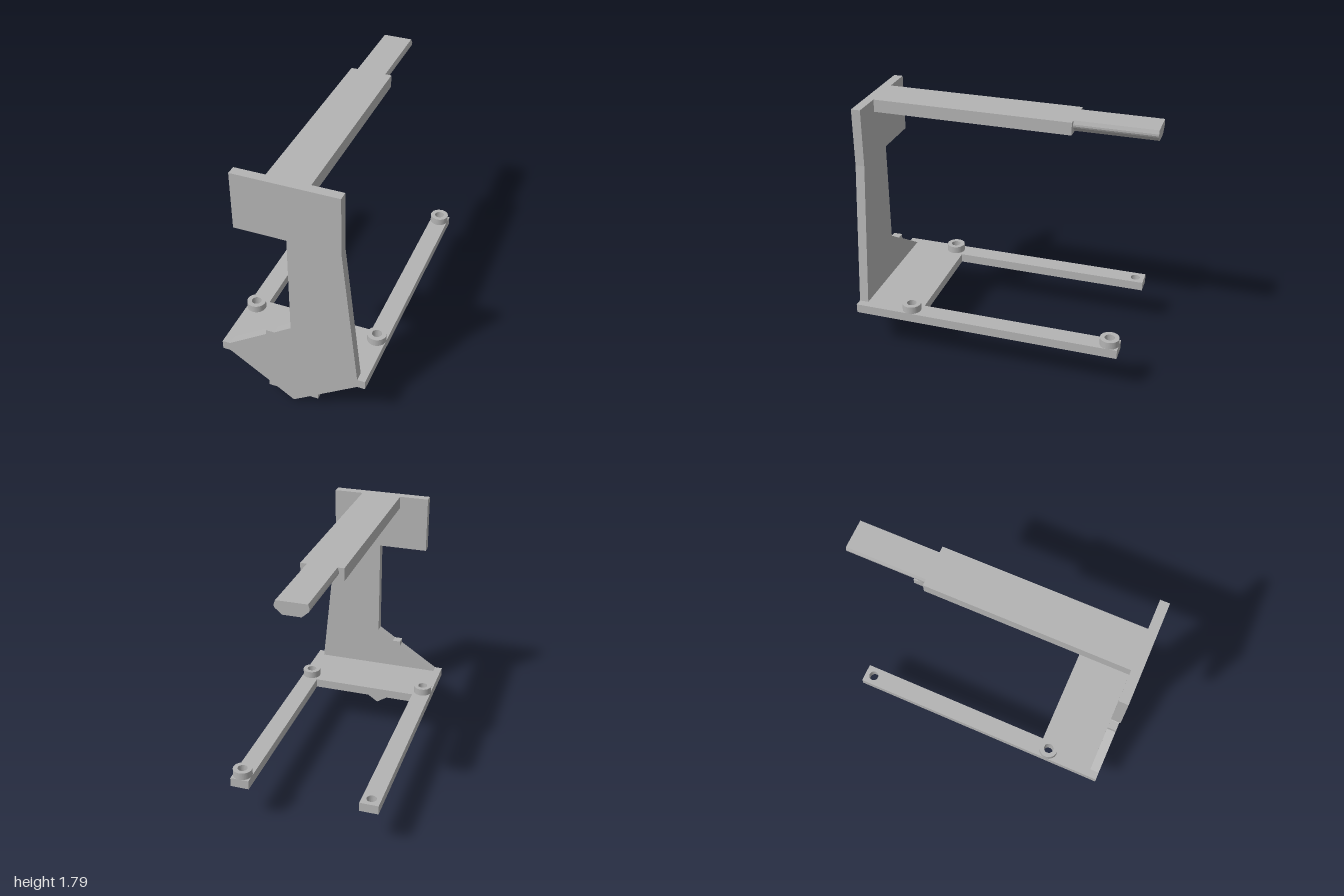
import * as THREE from 'three';

const grey = new THREE.MeshStandardMaterial({ color: 0xb3b3b3 });
grey.name = 'plain grey';

const toShape = (pts) => new THREE.Shape(pts.map(([x, y]) => new THREE.Vector2(x, y)));

function addHole(shape, x, y, r) {
  const hole = new THREE.Path();
  hole.absarc(x, y, r, 0, Math.PI * 2, true);
  shape.holes.push(hole);
}

const extrude = (shape, depth) =>
  new THREE.ExtrudeGeometry(shape, { depth, bevelEnabled: false, curveSegments: 24 });

export function createModel() {
  const model = new THREE.Group();
  model.name = 'bracketFrame';
  const add = (name, geometry) => {
    const mesh = new THREE.Mesh(geometry, grey);
    mesh.name = name;
    model.add(mesh);
  };

  const frontZ = 1, plateBack = 0.935;
  const baseTop = 0.37, baseThick = 0.065;
  const holeR = 0.034, bossR = 0.066, holeX = 0.45, nearZ = 0.6, farZ = -0.825;

  // Upright front plate with its offset head and notched lower point
  const plate = toShape([
    [0, 0], [0.12, 0.08], [0.18, 0.08], [0.18, 0.12], [0.46, 0.305], [0.515, 0.305],
    [0.515, 0.37], [0.46, 0.37], [0.355, 1.39], [0.355, 1.793], [-0.355, 1.793],
    [-0.355, 1.39], [0, 1.39], [0, 0.67], [-0.12, 0.59], [-0.18, 0.59], [-0.18, 0.555],
    [-0.46, 0.37], [-0.515, 0.37], [-0.515, 0.305], [-0.46, 0.305],
    [-0.18, 0.12], [-0.18, 0.08], [-0.12, 0.08],
  ]);
  add('frontPlate', extrude(plate, frontZ - plateBack).translate(0, 0, plateBack));

  // U-shaped base with two long arms, drawn in x and z, then laid flat
  const base = toShape([
    [-0.515, plateBack], [-0.515, -0.89], [-0.385, -0.89], [-0.385, 0.53],
    [0.385, 0.53], [0.385, -0.89], [0.515, -0.89], [0.515, plateBack],
  ]);
  for (const x of [-holeX, holeX]) for (const z of [nearZ, farZ]) addHole(base, x, z, holeR);
  add('baseFrame', extrude(base, baseThick).rotateX(Math.PI / 2).translate(0, baseTop, 0));

  // Raised mounting rings; one rear hole stays flush
  const ringProfile = [[holeR, 0], [bossR, 0], [bossR, 0.052], [holeR, 0.052], [holeR, 0]];
  for (const [name, x, z] of [
    ['frontLeftBoss', holeX, nearZ],
    ['frontRightBoss', -holeX, nearZ],
    ['rearLeftBoss', holeX, farZ],
  ]) {
    const ring = new THREE.Shape();
    ring.absarc(0, 0, ringProfile[1][0], 0, Math.PI * 2, false);
    addHole(ring, 0, 0, holeR);
    add(name, extrude(ring, ringProfile[2][1]).rotateX(-Math.PI / 2).translate(x, baseTop, z));
  }

  // Long top beam
  const beamBottom = 1.705, beamTop = 1.793, stepZ = -0.445;
  add('topBeam', new THREE.BoxGeometry(0.29, beamTop - beamBottom, plateBack - stepZ)
    .translate(0, (beamTop + beamBottom) / 2, (plateBack + stepZ) / 2));

  // Narrow tongue with rounded shoulders and a tapered underside
  const half = [[0.06, beamBottom], [0.104, 1.743], [0.11, 1.755], [0.11, 1.768], [0.101, beamTop]];
  const tongue = toShape([...half, ...half.map(([x, y]) => [-x, y]).reverse()]);
  add('beamTongue', extrude(tongue, stepZ + 1).translate(0, 0, -1));

  return model;
}
